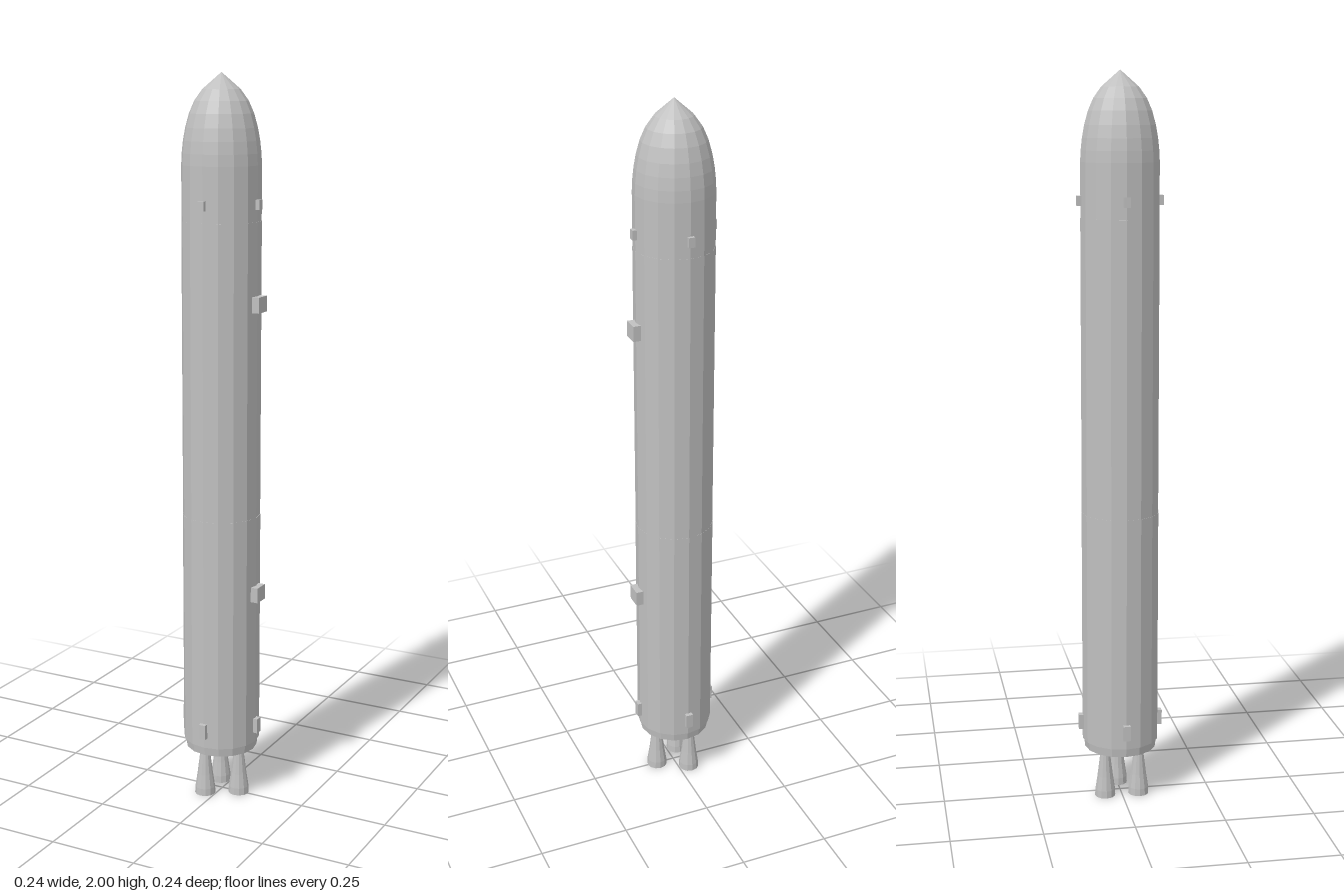
import * as THREE from 'three';

export function createModel() {
  const root = new THREE.Group();
  root.name = 'rocket';
  const hull = new THREE.MeshStandardMaterial({ color: 0xc0c0c0, flatShading: true });
  hull.name = 'hull grey';
  const bell = new THREE.MeshStandardMaterial({ color: 0xc0c0c0, flatShading: true, side: THREE.DoubleSide });
  bell.name = 'nozzle grey';

  // everything hangs on the rocket's axis, slightly off centre because of the side brackets
  const rocket = new THREE.Group();
  rocket.name = 'rocketAxis';
  rocket.position.x = -0.003;
  root.add(rocket);

  const add = (name, geometry, material, x = 0, y = 0, z = 0) => {
    const mesh = new THREE.Mesh(geometry, material);
    mesh.name = name;
    mesh.position.set(x, y, z);
    rocket.add(mesh);
    return mesh;
  };
  const drum = (name, rTop, rBottom, y0, y1) =>
    add(name, new THREE.CylinderGeometry(rTop, rBottom, y1 - y0, 16), hull, 0, (y0 + y1) / 2);
  const lathe = (points, sides) =>
    new THREE.LatheGeometry(points.map(([r, y]) => new THREE.Vector2(r, y)), sides);

  // stacked stages
  drum('engineSkirt', 0.103, 0.1, 0.14, 0.165);
  drum('firstStage', 0.107, 0.107, 0.165, 0.82);
  drum('secondStage', 0.1065, 0.1065, 0.82, 1.62);

  // fairing with rounded, pointed nose
  add('noseFairing', lathe([
    [0.106, 1.62], [0.106, 1.765], [0.1045, 1.795], [0.101, 1.827], [0.095, 1.86],
    [0.085, 1.896], [0.071, 1.928], [0.05, 1.957], [0, 2],
  ], 16), hull);

  // four small blocks around the hull at two heights
  const ringOfBlocks = (name, y, width, height, outer) => {
    for (let i = 0; i < 4; i++) {
      const a = (i * Math.PI) / 2;
      const r = outer - 0.015;
      const block = add(name, new THREE.BoxGeometry(width, height, 0.03), hull,
        Math.sin(a) * r, y, Math.cos(a) * r);
      block.rotation.y = a;
    }
  };
  ringOfBlocks('upperThruster', 1.665, 0.017, 0.026, 0.116);
  ringOfBlocks('lowerBlock', 0.215, 0.02, 0.042, 0.118);

  // larger brackets on the left flank
  for (const y of [0.605, 1.405]) {
    add('sideBracket', new THREE.BoxGeometry(0.03, 0.042, 0.046), hull, 0.108, y, 0);
  }

  // three engines in a triangle
  for (let i = 0; i < 3; i++) {
    const a = (i * Math.PI * 2) / 3;
    const x = Math.cos(a) * 0.055;
    const z = Math.sin(a) * 0.055;
    add('engineChamber', new THREE.CylinderGeometry(0.013, 0.013, 0.04, 12), hull, x, 0.125, z);
    add('engineNozzle', lathe([
      [0.029, 0], [0.028, 0.02], [0.022, 0.06], [0.017, 0.1], [0.013, 0.132],
    ], 12), bell, x, 0, z);
  }
  return root;
}
